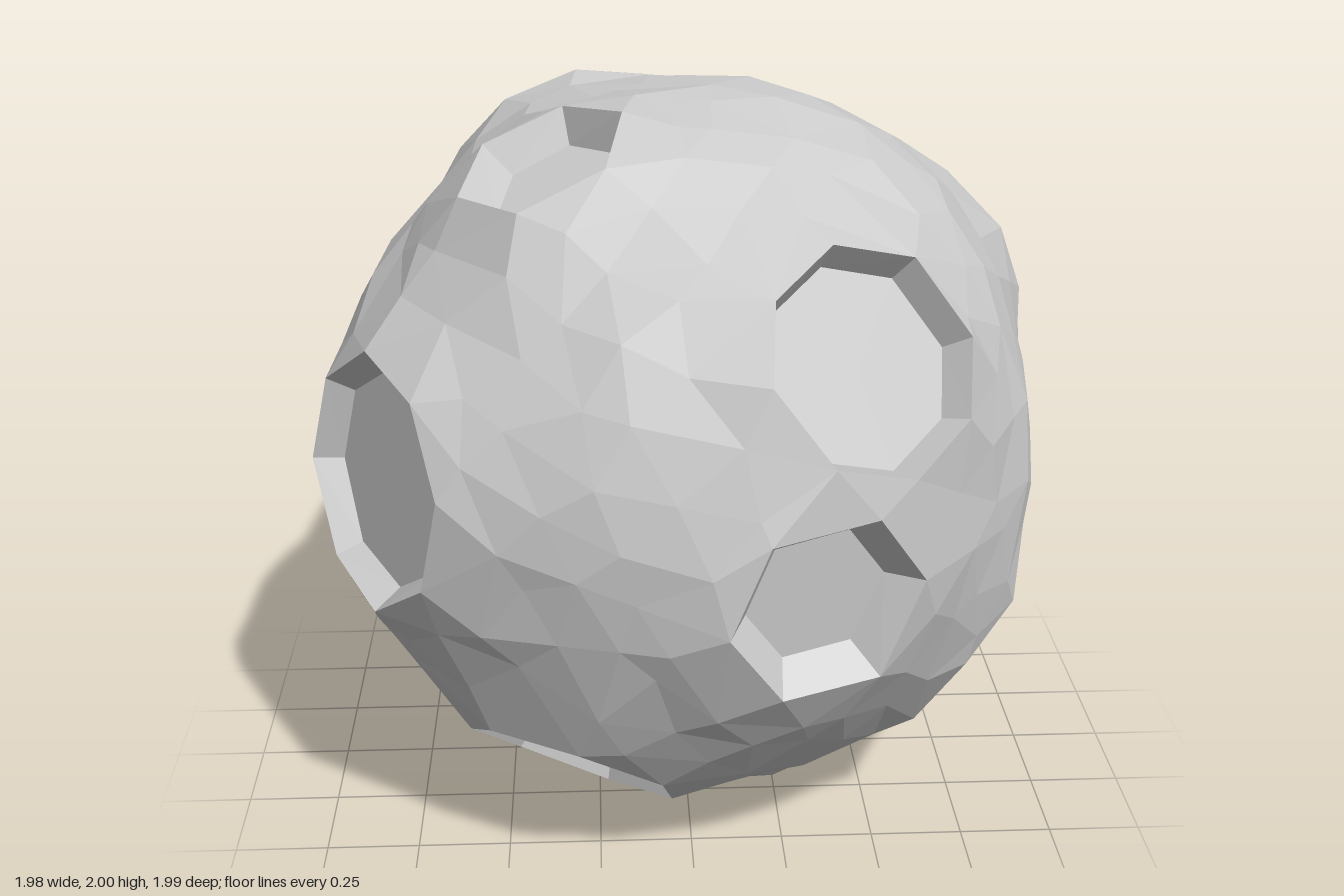
import * as THREE from 'three';
import { ConvexGeometry } from 'three/addons/geometries/ConvexGeometry.js';

// Craters: direction, rim radius, floor radius, sides, rim distance from the centre, depth, turn
const CRATERS = [
  { dir: [0.425, 0.49, 0.75], rim: 0.295, floor: 0.26, sides: 8, top: 1.03, depth: 0.08, turn: 0.2 },
  { dir: [0.31, -0.08, 0.93], rim: 0.26, floor: 0.185, sides: 6, top: 1.02, depth: 0.09, turn: 0.1 },
  { dir: [-0.81, 0.1, 0.52], rim: 0.335, floor: 0.285, sides: 8, top: 1.03, depth: 0.07, turn: 0.1 },
  { dir: [-0.33, -0.74, 0.55], rim: 0.295, floor: 0.245, sides: 7, top: 1.0, depth: 0.08, turn: 0.4 },
  { dir: [0.27, -0.93, -0.1], rim: 0.345, floor: 0.265, sides: 8, top: 1.02, depth: 0.1, turn: 0.4 },
  { dir: [0.75, -0.54, 0.29], rim: 0.245, floor: 0.175, sides: 6, top: 1.01, depth: 0.1, turn: 0.2 },
  { dir: [0.8, 0.41, -0.49], rim: 0.29, floor: 0.22, sides: 8, top: 1.08, depth: 0.1, turn: 0.3 },
  { dir: [0.56, -0.07, -0.79], rim: 0.25, floor: 0.175, sides: 7, top: 1.04, depth: 0.1, turn: 0.1 },
  { dir: [-0.32, 0.69, -0.68], rim: 0.33, floor: 0.265, sides: 9, top: 1.07, depth: 0.1, turn: 0 },
  { dir: [-0.36, 0.86, 0.29], rim: 0.23, floor: 0.165, sides: 6, top: 1.02, depth: 0.09, turn: 0.6 },
  { dir: [-0.49, -0.44, -0.69], rim: 0.225, floor: 0.16, sides: 6, top: 1.0, depth: 0.1, turn: 0.2 },
].map((c) => ({ ...c, axis: new THREE.Vector3(...c.dir).normalize() }));

// Broad swells and hollows of the ground: direction, height, reach in radians
const SWELLS = [
  { dir: [0.45, 0.89, 0], height: 0.05, reach: 0.8 },
  { dir: [0.05, 0.3, -1], height: 0.035, reach: 0.7 },
  { dir: [0.1, -0.68, -0.72], height: -0.06, reach: 0.7 },
  { dir: [-0.78, -0.6, -0.05], height: -0.02, reach: 0.6 },
].map((s) => ({ ...s, axis: new THREE.Vector3(...s.dir).normalize() }));
const GROUND = 0.967;
const GROUND_POINTS = 420;

function seeded(seed) {
  return () => {
    seed = (seed * 16807) % 2147483647;
    return seed / 2147483647;
  };
}

// Each site has a direction to join by and a real point; rim sites also know their floor corner
function craterSites(crater, random) {
  const turn = new THREE.Quaternion().setFromUnitVectors(new THREE.Vector3(0, 0, 1), crater.axis);
  const rimHeight = Math.sqrt(crater.top ** 2 - crater.rim ** 2);
  const floorHeight = rimHeight - crater.depth;
  const sites = [
    { dir: crater.axis, point: crater.axis.clone().multiplyScalar(floorHeight), isCentre: true },
  ];
  for (let i = 0; i < crater.sides; i++) {
    const a = crater.turn + ((i + (random() - 0.5) * 0.12) / crater.sides) * Math.PI * 2;
    const at = (r, h) => new THREE.Vector3(Math.cos(a) * r, Math.sin(a) * r, h).applyQuaternion(turn);
    const rim = at(crater.rim, rimHeight);
    sites.push({
      dir: rim.clone().normalize(),
      point: rim.multiplyScalar(1 + (random() - 0.5) * 0.02),
      floor: at(crater.floor, floorHeight),
    });
  }
  return sites;
}

// Uneven ground between the craters, rising gently towards each rim
function groundSites(random) {
  const sites = [];
  for (let i = 0; i < GROUND_POINTS; i++) {
    const y = 1 - (2 * (i + 0.5)) / GROUND_POINTS;
    const a = i * Math.PI * (3 - Math.sqrt(5));
    const s = Math.sqrt(1 - y * y);
    const dir = new THREE.Vector3(Math.cos(a) * s, y, Math.sin(a) * s);
    dir.x += (random() - 0.5) * 0.1;
    dir.y += (random() - 0.5) * 0.1;
    dir.z += (random() - 0.5) * 0.1;
    dir.normalize();
    const gaps = CRATERS.map((c) => dir.angleTo(c.axis) - Math.asin(c.rim / c.top));
    if (Math.min(...gaps) < 0.055) continue;
    let radius = GROUND + (random() - 0.5) * 0.022;
    for (const swell of SWELLS) {
      const t = Math.min(1, dir.angleTo(swell.axis) / swell.reach);
      radius += swell.height * 0.5 * (1 + Math.cos(Math.PI * t));
    }
    // Blend towards the nearest rim
    const nearest = gaps.indexOf(Math.min(...gaps));
    const blend = 0.75 * Math.max(0, 1 - gaps[nearest] / 0.25);
    radius += (CRATERS[nearest].top - radius) * blend;
    sites.push({ dir, point: dir.clone().multiplyScalar(radius) });
  }
  return sites;
}

// Turn one joined triangle into ground, or into a crater wall panel with its slice of floor
function facesOf(corners) {
  const c = corners.findIndex((s) => s.isCentre);
  if (c < 0) return corners.map((s) => s.point);
  const centre = corners[c];
  const a = corners[(c + 1) % 3];
  const b = corners[(c + 2) % 3];
  return [
    a.point, b.point, b.floor,
    a.point, b.floor, a.floor,
    centre.point, a.floor, b.floor,
  ];
}

export function createModel() {
  const random = seeded(4711);
  const sites = [...CRATERS.flatMap((c) => craterSites(c, random)), ...groundSites(random)];

  // Join the sites over a unit sphere
  const key = (x, y, z) => [x, y, z].map(Math.fround).join();
  const byKey = new Map(sites.map((s) => [key(s.dir.x, s.dir.y, s.dir.z), s]));
  const joined = new ConvexGeometry(sites.map((s) => s.dir)).attributes.position;
  const corner = (i) => byKey.get(key(joined.getX(i), joined.getY(i), joined.getZ(i)));

  // Raise every triangle to its real surface
  const vertices = [];
  for (let i = 0; i < joined.count; i += 3) {
    vertices.push(...facesOf([corner(i), corner(i + 1), corner(i + 2)]));
  }
  const geometry = new THREE.BufferGeometry().setFromPoints(vertices);
  geometry.computeVertexNormals();

  const rock = new THREE.Mesh(
    geometry,
    new THREE.MeshStandardMaterial({ color: 0xcccccc, flatShading: true })
  );
  rock.name = 'crateredRock';
  rock.position.y = 1;
  const group = new THREE.Group();
  group.name = 'asteroid';
  group.add(rock);
  return group;
}
